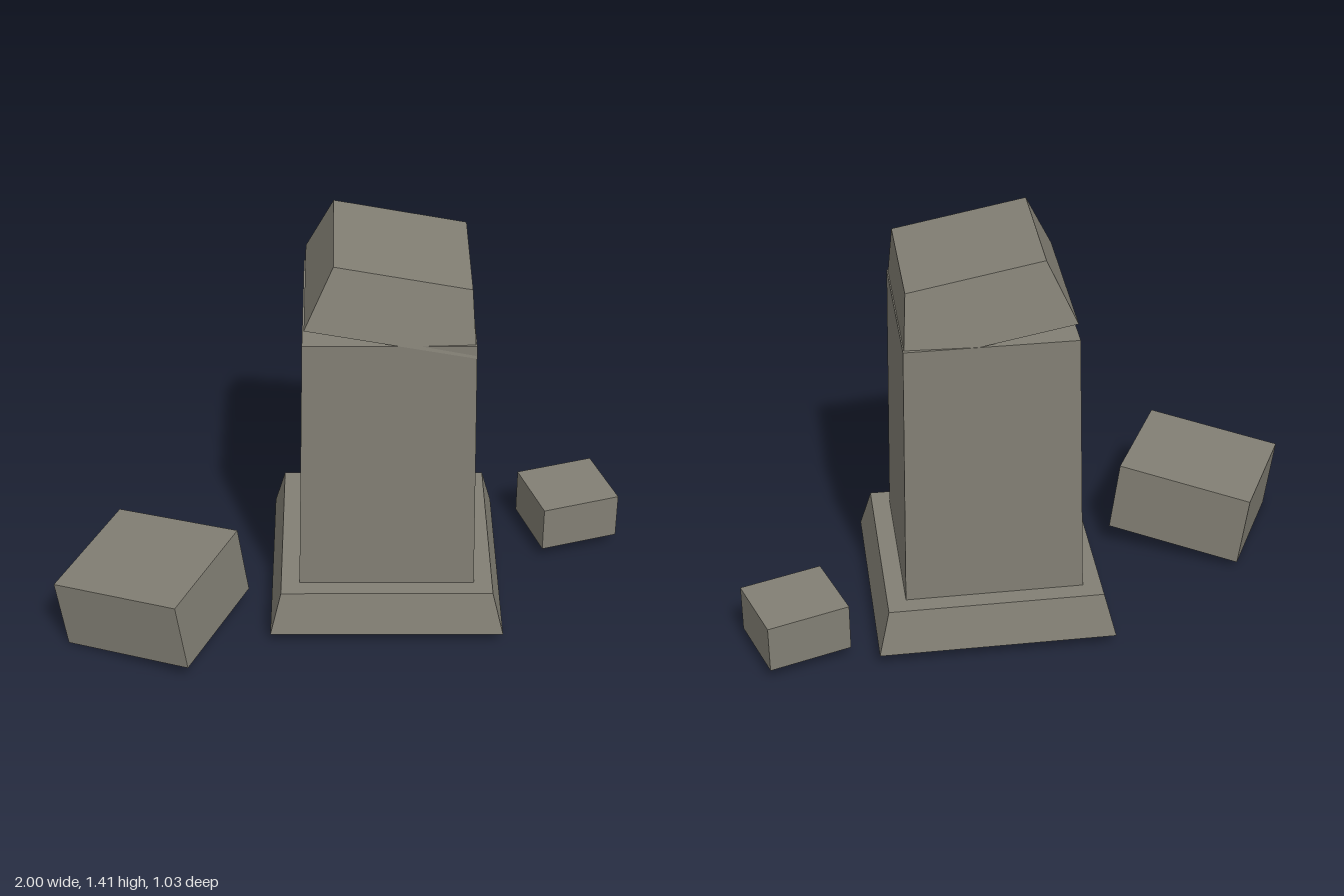
import * as THREE from 'three';

// Box standing on y = 0 whose top is scaled to a narrower square
function taperedBlock(bottom, top, height) {
  const geo = new THREE.BoxGeometry(bottom, height, bottom);
  geo.translate(0, height / 2, 0);
  const p = geo.attributes.position;
  const s = top / bottom;
  for (let i = 0; i < p.count; i++) {
    if (p.getY(i) > height / 2) p.setXYZ(i, p.getX(i) * s, p.getY(i), p.getZ(i) * s);
  }
  geo.computeVertexNormals();
  return geo;
}

export function createModel() {
  const group = new THREE.Group();
  const stone = new THREE.MeshStandardMaterial({ color: 0x827f74 });
  stone.name = 'weatheredStone';

  const add = (name, geo, position, rotation = [0, 0, 0]) => {
    const mesh = new THREE.Mesh(geo, stone);
    mesh.name = name;
    mesh.position.set(...position);
    mesh.rotation.set(...rotation, 'ZYX');
    group.add(mesh);
  };

  // Pillar: plinth, shaft and the broken, tilted cap
  const x = 0.143, z = -0.089;
  add('plinth', taperedBlock(0.808, 0.732, 0.15), [x, 0.05, z]);
  add('shaft', taperedBlock(0.605, 0.57, 0.95), [x, 0.2, z]);
  add('tiltedCap', taperedBlock(0.572, 0.458, 0.219), [0.146, 1.157, -0.087], [0, 0, -0.185]);

  // Fallen blocks
  add('largeFallenBlock', new THREE.BoxGeometry(0.481, 0.257, 0.45), [-0.67, 0.175, 0.203], [0, -0.45, 0.135]);
  add('smallFallenBlock', new THREE.BoxGeometry(0.29, 0.17, 0.262), [0.818, 0.135, -0.35], [0, 0.314, 0]);

  return group;
}
